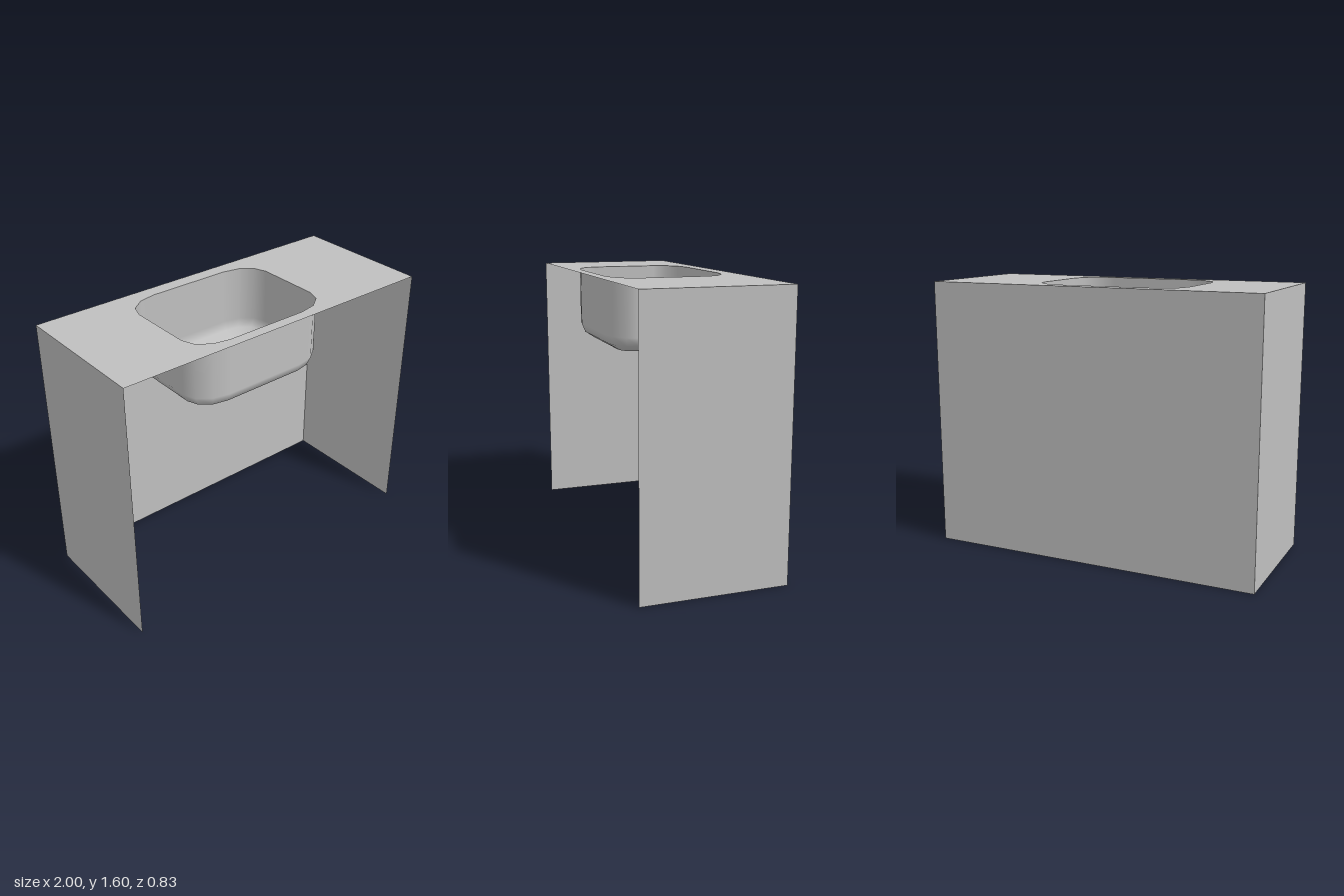
import * as THREE from 'three';

const H = 1.595, D = 0.415; // cabinet height and half depth
const SEG = 3; // segments per rounded corner
const basin = { x: -0.06, z: 0.01, hx: 0.45, hz: 0.34, rx: 0.2, rz: 0.15, ry: 0.1, floor: 1.17 };

// Outline of the basin as corner centres and angles, going round once
function outline() {
  const { x, z, hx, hz, rx, rz } = basin;
  const pts = [];
  [[1, 1], [-1, 1], [-1, -1], [1, -1]].forEach(([sx, sz], q) => {
    for (let i = 0; i <= SEG; i++) {
      const a = (q + i / SEG) * Math.PI / 2;
      pts.push({ cx: x + sx * (hx - rx), cz: z + sz * (hz - rz), c: Math.cos(a), s: Math.sin(a) });
    }
  });
  return pts;
}

// Rim, rounded lower edge and floor of the basin, smooth throughout
function basinGeometry() {
  const { x, z, rx, rz, ry, floor } = basin;
  const pts = outline(), n = pts.length;
  const pos = [], nor = [], idx = [];
  const rows = [[H, 0]];
  for (let j = 0; j <= SEG; j++) {
    const b = j / SEG * Math.PI / 2;
    rows.push([floor + ry * (1 - Math.sin(b)), b]);
  }
  const v = new THREE.Vector3();
  for (const [y, b] of rows) {
    const k = Math.cos(b);
    for (const p of pts) {
      pos.push(p.cx + rx * p.c * k, y, p.cz + rz * p.s * k);
      v.set(-p.c * k / rx, Math.sin(b) / ry, -p.s * k / rz).normalize();
      nor.push(v.x, v.y, v.z);
    }
  }
  for (let j = 0; j < rows.length - 1; j++) {
    for (let i = 0; i < n; i++) {
      const a = j * n + i, b = j * n + (i + 1) % n;
      idx.push(a, b, a + n, b, b + n, a + n);
    }
  }
  // floor fan
  const last = (rows.length - 1) * n, centre = rows.length * n;
  pos.push(x, floor, z);
  nor.push(0, 1, 0);
  for (let i = 0; i < n; i++) idx.push(centre, last + i, last + (i + 1) % n);
  // make every face point into the bowl
  for (let t = 0; t < idx.length; t += 3) {
    const [A, B, C] = [0, 1, 2].map(i => new THREE.Vector3().fromArray(pos, idx[t + i] * 3));
    const face = B.sub(A).cross(C.sub(A));
    const mean = new THREE.Vector3();
    for (let i = 0; i < 3; i++) mean.add(v.fromArray(nor, idx[t + i] * 3));
    if (face.dot(mean) < 0) [idx[t + 1], idx[t + 2]] = [idx[t + 2], idx[t + 1]];
  }
  const g = new THREE.BufferGeometry();
  g.setAttribute('position', new THREE.Float32BufferAttribute(pos, 3));
  g.setAttribute('normal', new THREE.Float32BufferAttribute(nor, 3));
  g.setIndex(idx);
  return g;
}

export function createModel() {
  const group = new THREE.Group();
  const grey = new THREE.MeshStandardMaterial({ color: 0xbfbfbf, side: THREE.DoubleSide });
  grey.name = 'plain grey';
  const add = (name, geometry) => {
    const mesh = new THREE.Mesh(geometry, grey);
    mesh.name = name;
    group.add(mesh);
    return mesh;
  };

  // Back panel, facing backwards
  add('backPanel', new THREE.PlaneGeometry(2, H).rotateY(Math.PI).translate(0, H / 2, -D));

  // Side panels, facing outwards
  for (const s of [1, -1]) {
    add(s > 0 ? 'leftPanel' : 'rightPanel',
      new THREE.PlaneGeometry(2 * D, H).rotateY(s * Math.PI / 2).translate(s, H / 2, 0));
  }

  // Worktop with the basin opening; shape y becomes -z
  const top = new THREE.Shape([[-1, -D], [1, -D], [1, D], [-1, D]].map(p => new THREE.Vector2(...p)));
  top.holes.push(new THREE.Path(outline().map(p =>
    new THREE.Vector2(p.cx + basin.rx * p.c, -(p.cz + basin.rz * p.s)))));
  add('worktop', new THREE.ShapeGeometry(top).rotateX(-Math.PI / 2).translate(0, H, 0));

  // Sunken basin
  add('basin', basinGeometry());
  return group;
}
